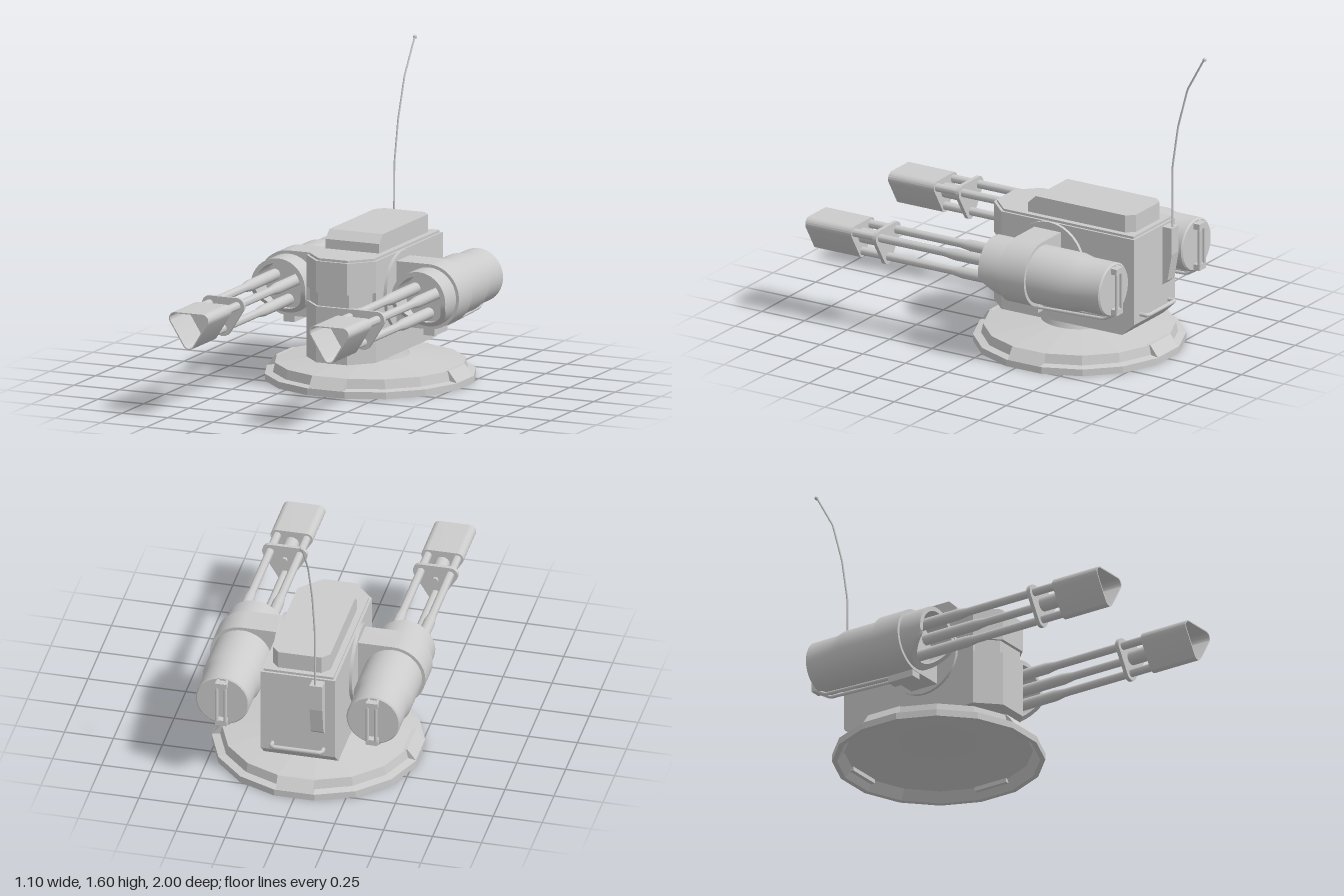
import * as THREE from 'three';
import { toCreasedNormals } from 'three/addons/utils/BufferGeometryUtils.js';

const GREY = new THREE.MeshStandardMaterial({ color: 0xcccccc });
const FLAT = new THREE.MeshStandardMaterial({ color: 0xcccccc, flatShading: true });
const GUN_X = 0.385, GUN_Y = 0.47;
const BARRELS = [[0.075, 0.037], [-0.075, 0.037], [0, -0.083]];

const v2 = (pts) => pts.map(([a, b]) => new THREE.Vector2(a, b));
const v3 = (pts) => pts.map((p) => new THREE.Vector3(...p));

function add(parent, name, geometry, material = GREY) {
  const mesh = new THREE.Mesh(geometry, material);
  mesh.name = name;
  parent.add(mesh);
  return mesh;
}

function box(parent, name, size, pos) {
  const mesh = add(parent, name, new THREE.BoxGeometry(...size));
  mesh.position.set(...pos);
  return mesh;
}

function extrude(shape, depth) {
  return new THREE.ExtrudeGeometry(shape, { depth, bevelEnabled: false, curveSegments: 16 });
}

// Side profile of [z, y] points, extruded across x and centred on it
function acrossX(pts, width) {
  return extrude(new THREE.Shape(v2(pts)), width).translate(0, 0, -width / 2).rotateY(-Math.PI / 2);
}

// Plan outline of [x, z] points, raised from y0 to y1
function upwards(pts, y0, y1) {
  const shape = new THREE.Shape(v2(pts.map(([x, z]) => [x, -z])));
  return extrude(shape, y1 - y0).rotateX(-Math.PI / 2).translate(0, y0, 0);
}

// [radius, z] profile turned about the z axis
function turnedZ(pts, segments = 32) {
  return new THREE.LatheGeometry(v2(pts), segments).rotateX(Math.PI / 2);
}

const crease = (g) => toCreasedNormals(g, 0.6);

// Triangle round the three barrels, with corners of radius r
function roundedTriangle(r) {
  const shape = new THREE.Shape();
  const a = [-32, 90, 212, 328].map(THREE.MathUtils.degToRad);
  BARRELS.forEach(([x, y], i) => shape.absarc(x, y, r, a[i], a[i + 1], false));
  shape.closePath();
  return shape;
}

// Path made of straight runs
function polyTube(points, radius, sides = 8) {
  const path = new THREE.CurvePath();
  const p = v3(points);
  for (let i = 1; i < p.length; i++) path.add(new THREE.LineCurve3(p[i - 1], p[i]));
  return new THREE.TubeGeometry(path, 40, radius, sides, false);
}

function createBase() {
  const base = new THREE.Group();
  base.name = 'base';
  base.position.z = -0.3;
  // Hollow sixteen-sided dish
  const k = 1 / Math.cos(Math.PI / 16);
  const profile = [[0, 0.1], [0.19, 0.1], [0.46, 0.05], [0.495, 0], [0.52, 0], [0.52, 0.035],
    [0.48, 0.042], [0.47, 0.09], [0.2, 0.125], [0, 0.125]].map(([r, y]) => [r * k, y]);
  add(base, 'basePlate', new THREE.LatheGeometry(v2(profile), 16, Math.PI / 16), FLAT);
  // Sloped blocks on the four main sides of the rim
  for (let i = 0; i < 4; i++) {
    const block = add(base, 'rimBlock',
      acrossX([[0.45, 0.03], [0.52, 0.034], [0.475, 0.092], [0.45, 0.092]], 0.19), FLAT);
    block.rotation.y = i * Math.PI / 2;
  }
  // Neck
  const neck = [[0.2, 0.11], [0.19, 0.14], [0.185, 0.158], [0, 0.158]];
  add(base, 'neck', crease(new THREE.LatheGeometry(v2(neck), 32)));
  return base;
}

function createBody() {
  const body = new THREE.Group();
  body.name = 'body';
  add(body, 'hull', acrossX([[0.04, 0.155], [0.04, 0.67], [-0.74, 0.67], [-0.74, 0.22], [-0.67, 0.155]], 0.38));
  // Chamfered nose in three layers, the middle one a groove
  for (const [y0, y1, d] of [[0.155, 0.44, 0], [0.44, 0.51, 0.018], [0.51, 0.67, 0]]) {
    add(body, 'nose', upwards([[-0.19 + d, 0.04], [-0.085, 0.15 - d], [0.085, 0.15 - d], [0.19 - d, 0.04]], y0, y1));
  }
  add(body, 'topPlate', upwards([[-0.178, -0.728], [-0.178, 0.033], [-0.08, 0.136],
    [0.08, 0.136], [0.178, 0.033], [0.178, -0.728]], 0.665, 0.682));

  // Hatch: lower slab, then a top slab with a sloped front
  const hatch = (z, y) => [[-0.147, z], [0.147, z], [0.147, -0.66], [0.11, -0.7], [-0.11, -0.7], [-0.147, -0.66]]
    .map((p) => p);
  add(body, 'hatchBase', upwards(hatch(-0.09), 0.68, 0.73));
  const lid = upwards(hatch(-0.09), 0.73, 0.772);
  const pos = lid.attributes.position;
  for (let i = 0; i < pos.count; i++) {
    if (pos.getY(i) > 0.76 && pos.getZ(i) > -0.1) pos.setZ(i, -0.135);
  }
  lid.computeVertexNormals();
  add(body, 'hatchLid', lid);

  // Round plates where the arms meet the hull
  for (const s of [-1, 1]) {
    const disc = add(body, 'sidePlate', crease(new THREE.CylinderGeometry(0.2, 0.2, 0.018, 32)));
    disc.rotation.z = Math.PI / 2;
    disc.position.set(s * 0.198, 0.475, -0.25);
  }

  // Rear grab handle
  add(body, 'rearHandle', polyTube([[-0.13, 0.26, -0.735], [-0.13, 0.26, -0.77], [-0.115, 0.26, -0.78],
    [0.115, 0.26, -0.78], [0.13, 0.26, -0.77], [0.13, 0.26, -0.735]], 0.011));

  // Antenna with its wedge-shaped holder
  const holder = add(body, 'antennaHolder',
    acrossX([[-0.735, 0.66], [-0.795, 0.66], [-0.795, 0.52], [-0.77, 0.38], [-0.735, 0.35]], 0.065));
  holder.position.x = -0.105;
  add(body, 'antenna', polyTube([[-0.098, 0.6, -0.782], [-0.097, 0.98, -0.785], [-0.093, 1.2, -0.82],
    [-0.086, 1.41, -0.88], [-0.078, 1.592, -0.983]], 0.005, 6));
  add(body, 'antennaTip', new THREE.SphereGeometry(0.01, 12, 8)).position.set(-0.078, 1.59, -0.985);
  return body;
}

function createGun() {
  const gun = new THREE.Group();
  gun.name = 'gun';

  // Housing, open in front and cut back along its lower lip
  const housing = turnedZ([[0, -0.745], [0.13, -0.745], [0.137, -0.738], [0.137, -0.59], [0.149, -0.54],
    [0.149, -0.04], [0.125, -0.04], [0.125, -0.17], [0, -0.17]], 40);
  const p = housing.attributes.position;
  for (let i = 0; i < p.count; i++) {
    if (p.getZ(i) > -0.05) p.setZ(i, p.getZ(i) - Math.max(0, -0.03 - p.getY(i)));
  }
  add(gun, 'housing', crease(housing));

  // Barrels, thicker at the root
  for (const [x, y] of BARRELS) {
    const barrel = add(gun, 'barrel', crease(turnedZ([[0.029, -0.18], [0.029, 0.14], [0.021, 0.2],
      [0.021, 0.8], [0, 0.8]], 16)));
    barrel.position.set(x, y, 0);
  }
  add(gun, 'bracket', crease(extrude(roundedTriangle(0.04), 0.02))).position.z = 0.58;
  add(gun, 'core', crease(turnedZ([[0, 0.565], [0.016, 0.565], [0.016, 0.58], [0.038, 0.585], [0.038, 0.74]], 20)));

  // Hollow triangular muzzle
  const wall = roundedTriangle(0.033);
  wall.holes.push(roundedTriangle(0.027));
  add(gun, 'muzzle', crease(extrude(wall, 0.27))).position.z = 0.73;
  add(gun, 'muzzleFloor', crease(extrude(roundedTriangle(0.029), 0.05))).position.z = 0.732;

  // Rails under the housing and up its rear cap
  for (const s of [-1, 1]) {
    add(gun, 'rail', polyTube([[s * 0.022, -0.17, -0.3], [s * 0.022, -0.155, -0.7], [s * 0.022, -0.11, -0.775],
      [s * 0.022, 0.1, -0.775], [s * 0.022, 0.12, -0.74]], 0.009));
  }
  box(gun, 'railTop', [0.06, 0.03, 0.04], [0, 0.105, -0.76]);
  box(gun, 'railBottom', [0.06, 0.03, 0.04], [0, -0.11, -0.76]);
  box(gun, 'railMount', [0.06, 0.045, 0.15], [0, -0.175, -0.243]);
  return gun;
}

export function createModel() {
  const model = new THREE.Group();
  model.name = 'turret';
  model.add(createBase(), createBody());

  // One rounded arm through the hull carries both guns
  const arm = new THREE.Shape();
  arm.absarc(GUN_X, GUN_Y, 0.165, -Math.PI / 2, Math.PI / 2, false);
  arm.absarc(-GUN_X, GUN_Y, 0.165, Math.PI / 2, Math.PI * 1.5, false);
  arm.closePath();
  add(model, 'arm', crease(extrude(arm, 0.155))).position.z = -0.32;

  for (const s of [-1, 1]) {
    const gun = createGun();
    gun.name = s > 0 ? 'leftGun' : 'rightGun';
    gun.position.set(s * GUN_X, GUN_Y, 0);
    model.add(gun);
  }
  return model;
}
